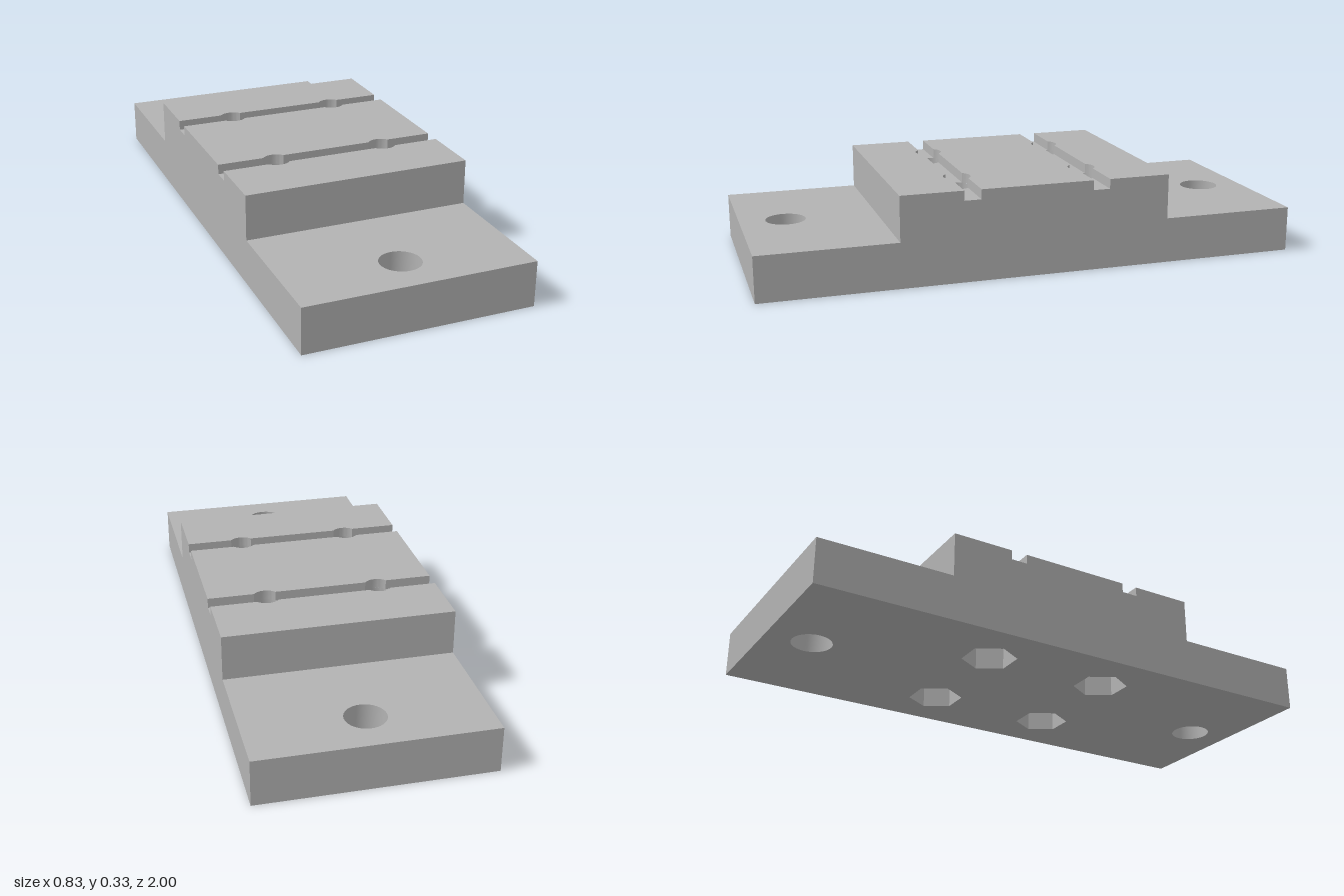
import * as THREE from 'three';
import { mergeGeometries, toCreasedNormals } from 'three/addons/utils/BufferGeometryUtils.js';

// Plan points are [x, s] with s = -z.
const W = 0.416, L = 1, STEP = 0.5;             // half width, half length, half length of the raised block
const SLAB = 0.167, TOP = 0.333, FLOOR = 0.297; // heights of ledges, block top and groove floors
const GROOVE = 0.24, HALF = 0.031;              // groove centre and half width
const HOLE_X = 0.208, R = 0.05;                 // small screw holes
const BOLT_S = 0.833, BOLT_R = 0.073;           // large mounting holes
const NUT_R = 0.1, NUT_H = 0.08;                // hexagonal nut pockets
const A = Math.asin(HALF / R);                  // where a hole crosses a groove edge

const arc = (x, s, r, from, to, n) => Array.from({ length: n + 1 }, (_, i) => {
  const t = from + (to - from) * i / n;
  return [x + r * Math.cos(t), s + r * Math.sin(t)];
});
const ring = (x, s, r, n = 40) => arc(x, s, r, 0, Math.PI * 2, n).slice(0, n);
const rect = (s0, s1) => [[-W, s0], [W, s0], [W, s1], [-W, s1]];
const rev = (pts) => [...pts].reverse();
const vecs = (pts) => pts.map(([x, y]) => new THREE.Vector2(x, y));

function flatShape(pts, holes = []) {
  const shape = new THREE.Shape(vecs(pts));
  shape.holes = holes.map((h) => new THREE.Path(vecs(h)));
  const g = new THREE.ShapeGeometry(shape).toNonIndexed();
  g.deleteAttribute('uv');
  return g;
}

// Horizontal face at height y, facing up or down
function plate(pts, y, holes = [], down = false) {
  const g = flatShape(pts, holes).rotateX(-Math.PI / 2).translate(0, y, 0);
  if (down) {
    const p = g.attributes.position;
    for (let i = 0; i < p.count; i += 3) {
      const a = [p.getX(i), p.getY(i), p.getZ(i)];
      p.setXYZ(i, p.getX(i + 1), p.getY(i + 1), p.getZ(i + 1));
      p.setXYZ(i + 1, ...a);
    }
    g.computeVertexNormals();
  }
  return g;
}

// Vertical face along a path, facing to the right of its direction
function wall(pts, y0, y1) {
  const v = [];
  for (let i = 0; i + 1 < pts.length; i++) {
    const [[ax, as], [bx, bs]] = [pts[i], pts[i + 1]];
    v.push(ax, y0, -as, bx, y0, -bs, bx, y1, -bs, ax, y0, -as, bx, y1, -bs, ax, y1, -as);
  }
  const g = new THREE.BufferGeometry();
  g.setAttribute('position', new THREE.Float32BufferAttribute(v, 3));
  g.computeVertexNormals();
  return g;
}
const bore = (pts, y0, y1) => wall(rev([...pts, pts[0]]), y0, y1);

// Groove edge from left to right, bulging around the two screw holes
const grooveEdge = (c, d) => [
  [-W, c + d * HALF],
  ...[-HOLE_X, HOLE_X].flatMap((hx) =>
    arc(hx, 0, R, Math.PI - A, A, 14).map(([x, s]) => [x, c + d * s])),
  [W, c + d * HALF],
];

export function createModel() {
  const group = new THREE.Group();
  const grey = new THREE.MeshStandardMaterial({ color: 0xb2b2b2 });
  grey.name = 'plain grey';
  const add = (name, parts) => {
    const mesh = new THREE.Mesh(toCreasedNormals(mergeGeometries(parts), 0.5), grey);
    mesh.name = name;
    group.add(mesh);
  };

  const bolts = [-BOLT_S, BOLT_S].map((s) => ring(0, s, BOLT_R));
  const centres = [-1, 1].flatMap((i) => [-1, 1].map((j) => [i * HOLE_X, j * GROOVE]));
  const screws = centres.map(([x, s]) => ring(x, s, R));
  const nuts = centres.map(([x, s]) => ring(x, s, NUT_R, 6));

  add('underside', [plate(rect(-L, L), 0, [...bolts, ...nuts], true)]);

  // Stepped side faces with the groove notches
  const half = [
    [L, 0], [L, SLAB], [STEP, SLAB], [STEP, TOP], [GROOVE + HALF, TOP],
    [GROOVE + HALF, FLOOR], [GROOVE - HALF, FLOOR], [GROOVE - HALF, TOP],
  ];
  const profile = [...half, ...rev(half).map(([s, y]) => [-s, y])];
  add('sideFaces', [1, -1].map((d) =>
    flatShape(profile).rotateY(d * Math.PI / 2).translate(d * W, 0, 0)));

  // End faces and block risers
  const ends = (s, y0, y1) => [
    wall([[W, s], [-W, s]], y0, y1),
    wall([[-W, -s], [W, -s]], y0, y1),
  ];
  add('endFaces', ends(L, 0, SLAB));
  add('blockRisers', ends(STEP, SLAB, TOP));

  add('mountingLedges', [
    plate(rect(-L, -STEP), SLAB, [bolts[0]]),
    plate(rect(STEP, L), SLAB, [bolts[1]]),
  ]);

  // Block top, in three strips between the grooves
  const straight = (s) => [[-W, s], [W, s]];
  const strips = [
    [straight(-STEP), grooveEdge(-GROOVE, -1)],
    [grooveEdge(-GROOVE, 1), grooveEdge(GROOVE, -1)],
    [grooveEdge(GROOVE, 1), straight(STEP)],
  ];
  add('blockTop', strips.map(([lo, hi]) => plate([...lo, ...rev(hi)], TOP)));

  // Grooves: walls, and floors in three pieces around the holes
  const grooves = [];
  for (const c of [-GROOVE, GROOVE]) {
    grooves.push(wall(grooveEdge(c, 1), FLOOR, TOP), wall(rev(grooveEdge(c, -1)), FLOOR, TOP));
    const end = (x) => [[x, c - HALF], [x, c + HALF]];
    const leftOf = (x) => arc(x, c, R, Math.PI + A, Math.PI - A, 10);
    const rightOf = (x) => arc(x, c, R, -A, A, 10);
    for (const [l, r] of [
      [end(-W), leftOf(-HOLE_X)],
      [rightOf(-HOLE_X), leftOf(HOLE_X)],
      [rightOf(HOLE_X), end(W)],
    ]) grooves.push(plate([...r, ...rev(l)], FLOOR));
  }
  add('grooves', grooves);

  add('mountingHoles', bolts.map((b) => bore(b, 0, SLAB)));
  add('screwHoles', screws.map((s) => bore(s, NUT_H, FLOOR)));
  add('nutPockets', nuts.flatMap((n, i) => [bore(n, 0, NUT_H), plate(n, NUT_H, [screws[i]], true)]));

  return group;
}
